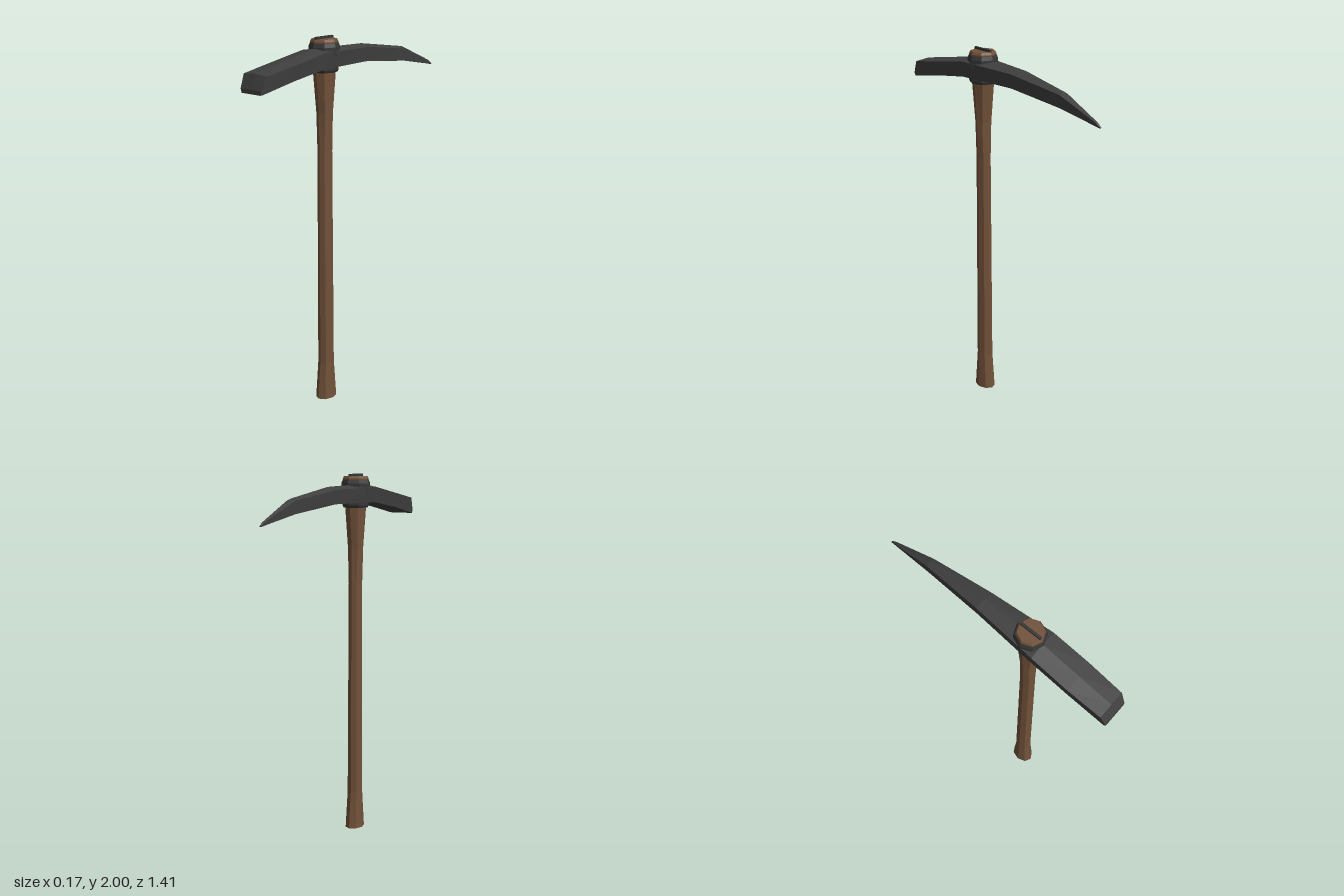
import * as THREE from 'three';

const wood = new THREE.MeshStandardMaterial({ color: 0x72523a });
wood.name = 'wood';
const iron = new THREE.MeshStandardMaterial({ color: 0x3f3f3f });
iron.name = 'iron';
const darkIron = new THREE.MeshStandardMaterial({ color: 0x363636 });
darkIron.name = 'darkIron';

const SHAFT_Z = 0.185;

// Faceted solid through equal-sized rings of points, closed at both ends
function loft(rings) {
  const n = rings[0].length;
  const pos = [];
  const tri = (a, b, c) => pos.push(...a, ...b, ...c);
  for (let i = 0; i < rings.length - 1; i++) {
    for (let j = 0; j < n; j++) {
      const k = (j + 1) % n;
      const a = rings[i][j], b = rings[i][k], c = rings[i + 1][k], d = rings[i + 1][j];
      tri(a, d, c);
      tri(a, c, b);
    }
  }
  const first = rings[0], last = rings[rings.length - 1];
  for (let j = 1; j < n - 1; j++) {
    tri(first[0], first[j], first[j + 1]);
    tri(last[0], last[j + 1], last[j]);
  }
  const geo = new THREE.BufferGeometry();
  geo.setAttribute('position', new THREE.Float32BufferAttribute(pos, 3));
  geo.computeVertexNormals();
  return geo;
}

// Octagonal column from [height, half width, half depth] rows
function column(rows) {
  return loft(rows.map(([y, rx, rz]) => Array.from({ length: 8 }, (_, i) => {
    const a = i * Math.PI / 4;
    return [rx * Math.cos(a), y, SHAFT_Z + rz * Math.sin(a)];
  })));
}

export function createModel() {
  const group = new THREE.Group();
  group.name = 'pickaxe';
  const add = (name, geo, mat) => {
    const mesh = new THREE.Mesh(geo, mat);
    mesh.name = name;
    group.add(mesh);
    return mesh;
  };

  // Handle, flared at the foot and under the head
  add('handle', column([
    [0, 0.048, 0.064], [0.21, 0.041, 0.045], [1.4, 0.036, 0.042],
    [1.6, 0.044, 0.042], [1.83, 0.057, 0.063], [1.93, 0.06, 0.065],
  ]), wood);

  // Head rows: [z of ridge, z of underside, ridge y, underside y, half width, shoulder drop]
  const rows = [
    [-0.706, -0.702, 1.763, 1.758, 0.004, 0.002],
    [-0.68, -0.67, 1.785, 1.765, 0.007, 0.005],
    [-0.44, -0.44, 1.887, 1.808, 0.026, 0.012],
    [-0.1, -0.1, 1.936, 1.846, 0.054, 0.015],
    [0.26, 0.26, 1.944, 1.845, 0.084, 0.015],
    [0.48, 0.48, 1.902, 1.812, 0.086, 0.012],
    [0.675, 0.7, 1.865, 1.768, 0.08, 0.008],
    [0.706, 0.706, 1.79, 1.767, 0.072, 0.003],
  ];
  add('head', loft(rows.map(([zt, zb, top, bottom, w, drop]) => [
    [0, top, zt], [w, top - drop, zt], [w * 0.9, bottom, zb],
    [0, bottom, zb], [-w * 0.9, bottom, zb], [-w, top - drop, zt],
  ])), iron);

  // Collars below and above the eye of the head
  add('lowerCollar', column([
    [1.818, 0.066, 0.07], [1.83, 0.072, 0.076], [1.87, 0.072, 0.076],
  ]), darkIron);
  add('upperCollar', column([
    [1.9, 0.08, 0.083], [1.948, 0.08, 0.083], [1.968, 0.072, 0.076],
  ]), darkIron);

  // Handle end showing above the head
  add('handleTop', column([
    [1.94, 0.068, 0.071], [1.975, 0.072, 0.073], [1.988, 0.066, 0.065],
  ]), wood);

  // Wedge driven into the handle end
  const wedge = add('wedge', new THREE.BoxGeometry(0.014, 0.04, 0.126), darkIron);
  wedge.position.set(0, 1.98, SHAFT_Z);

  return group;
}
